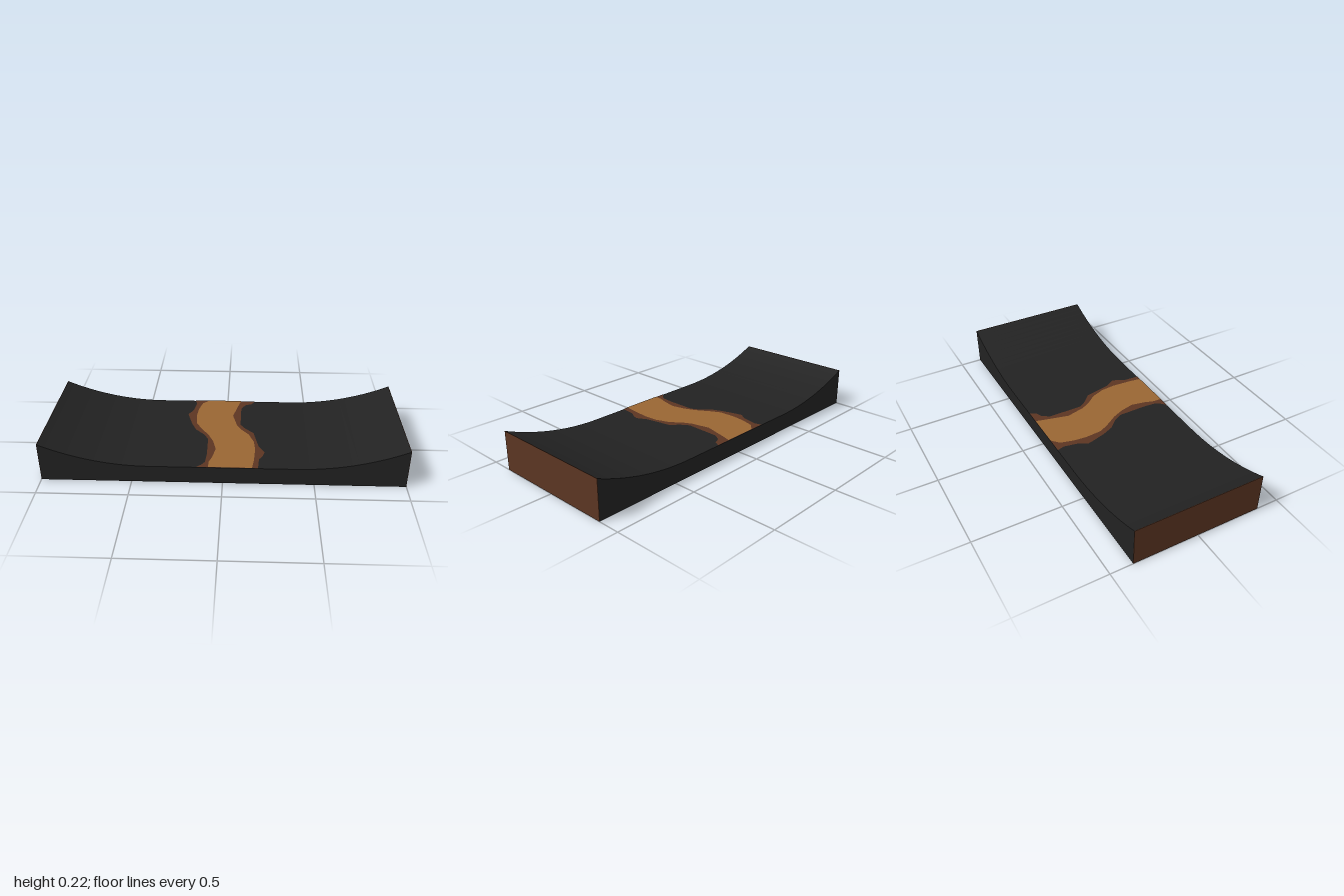
import * as THREE from 'three';

const HALF_LENGTH = 1, HALF_DEPTH = 0.373, BED = 0.1, FLAT = 0.4, RADIUS = 1.5025;
const END = 0.002; // thickness of the end panels

function material(name, color) {
  const m = new THREE.MeshStandardMaterial({ color });
  m.name = name;
  return m;
}

// Height of the top: flat in the middle, rising along an arc to each end
function topHeight(x) {
  const d = Math.max(0, Math.abs(x) - FLAT);
  return BED + RADIUS - Math.sqrt(RADIUS * RADIUS - d * d);
}

// Flat band on the bed, between a left and a right bank of [x, z] points
function band(name, left, right, y, mat) {
  const outline = [...left, ...right.slice().reverse()];
  const shape = new THREE.Shape(outline.map(([x, z]) => new THREE.Vector2(x, -z)));
  const geometry = new THREE.ShapeGeometry(shape).rotateX(-Math.PI / 2).translate(0, y, 0);
  const mesh = new THREE.Mesh(geometry, mat);
  mesh.name = name;
  return mesh;
}

export function createModel() {
  const group = new THREE.Group();
  group.name = 'valleyTile';
  const dark = material('charcoal', 0x222222);
  const brown = material('darkBrown', 0x5c3522);
  const tan = material('tan', 0x996633);

  // Ground block with the valley profile
  const x1 = HALF_LENGTH - END, steps = 16;
  const profile = [[-x1, 0], [x1, 0]];
  for (let i = 0; i <= steps; i++) {
    const x = x1 + (FLAT - x1) * i / steps;
    profile.push([x, topHeight(x)]);
  }
  for (let i = 0; i <= steps; i++) {
    const x = -FLAT - (x1 - FLAT) * i / steps;
    profile.push([x, topHeight(x)]);
  }
  const shape = new THREE.Shape(profile.map(([x, y]) => new THREE.Vector2(x, y)));
  const ground = new THREE.Mesh(
    new THREE.ExtrudeGeometry(shape, { depth: 2 * HALF_DEPTH, bevelEnabled: false }).translate(0, 0, -HALF_DEPTH), dark);
  ground.name = 'ground';
  group.add(ground);

  // Brown panels closing both ends
  const h = topHeight(HALF_LENGTH);
  for (const side of [1, -1]) {
    const panel = new THREE.Mesh(new THREE.BoxGeometry(END, h, 2 * HALF_DEPTH), brown);
    panel.position.set(side * (HALF_LENGTH - END / 2), h / 2, 0);
    panel.name = side > 0 ? 'leftEndPanel' : 'rightEndPanel';
    group.add(panel);
  }

  // Wandering path with a darker border on each side
  const borderLeft = [[-0.198, -0.373], [-0.187, -0.33], [-0.203, -0.245], [-0.23, -0.2], [-0.219, -0.155],
    [-0.198, -0.083], [-0.171, -0.02], [-0.118, 0.037], [-0.094, 0.085], [-0.092, 0.245],
    [-0.098, 0.32], [-0.115, 0.347], [-0.145, 0.373]];
  const borderRight = [[0.176, -0.373], [0.156, -0.338], [0.118, -0.322], [0.092, -0.28], [0.09, -0.083],
    [0.118, -0.04], [0.168, 0.01], [0.182, 0.083], [0.198, 0.158], [0.229, 0.215],
    [0.22, 0.25], [0.198, 0.286], [0.192, 0.373]];
  const pathLeft = [[-0.108, -0.373], [-0.15, -0.335], [-0.17, -0.26], [-0.177, -0.185], [-0.17, -0.088],
    [-0.14, -0.03], [-0.092, 0.045], [-0.064, 0.11], [-0.045, 0.19], [-0.06, 0.27], [-0.078, 0.325], [-0.078, 0.373]];
  const pathRight = [[0.09, -0.373], [0.075, -0.318], [0.043, -0.185], [0.068, -0.078], [0.095, -0.025],
    [0.14, 0.03], [0.17, 0.11], [0.177, 0.19], [0.17, 0.297], [0.16, 0.373]];
  group.add(band('pathBorder', borderLeft, borderRight, BED + 0.002, brown));
  group.add(band('path', pathLeft, pathRight, BED + 0.004, tan));
  return group;
}
